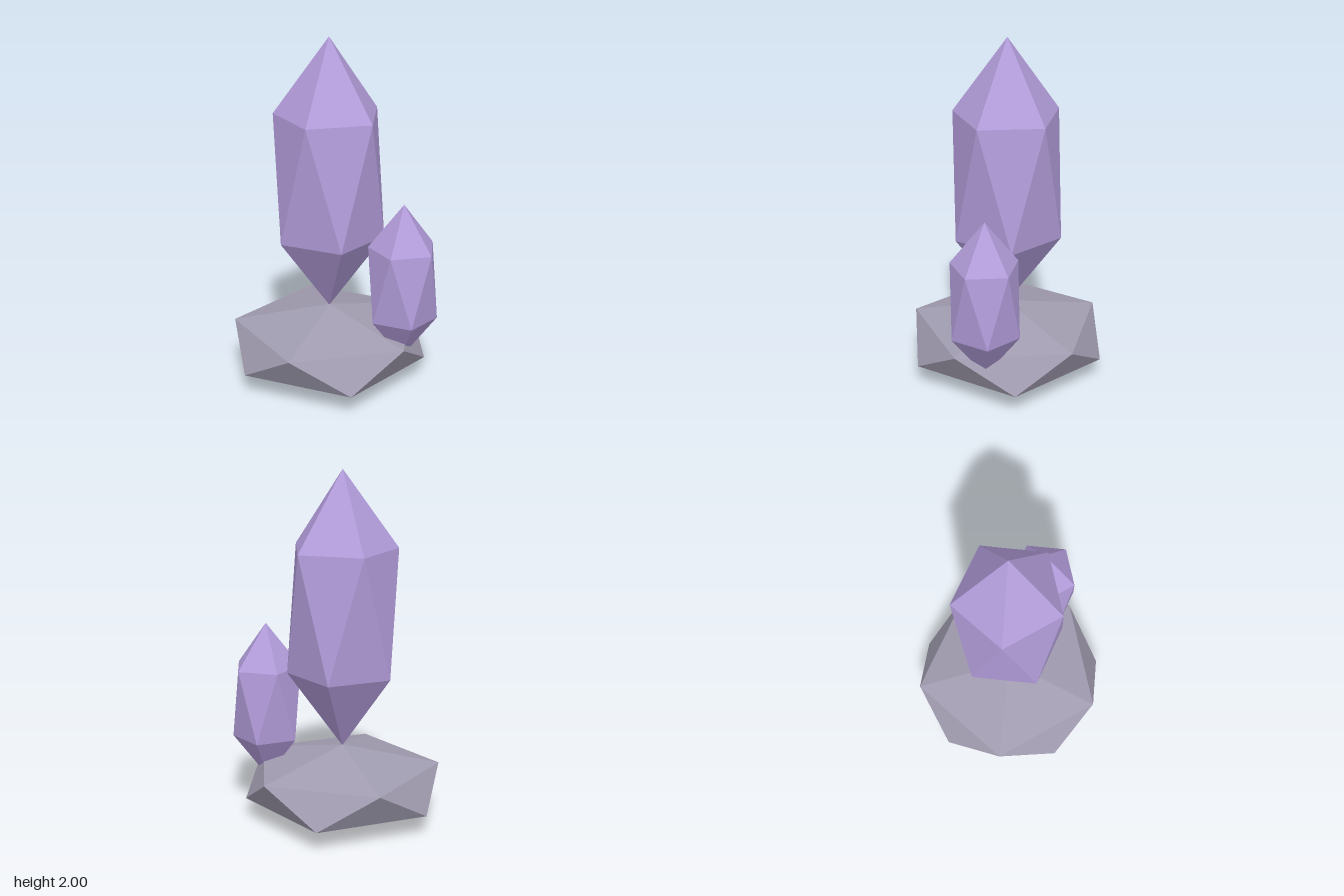
import * as THREE from 'three';

// Upright icosahedron: two tips and two staggered five-sided rings.
function gemGeometry(radius, halfHeight) {
  const ringY = halfHeight / Math.sqrt(5);
  const ring = (y, turn) => Array.from({ length: 5 }, (_, i) => {
    const a = turn + (i * Math.PI * 2) / 5;
    return [radius * Math.cos(a), y, -radius * Math.sin(a)];
  });
  const upper = ring(ringY, 0);
  const lower = ring(-ringY, Math.PI / 5);
  const top = [0, halfHeight, 0];
  const bottom = [0, -halfHeight, 0];

  const corners = [];
  for (let i = 0; i < 5; i++) {
    const j = (i + 1) % 5;
    corners.push(top, upper[i], upper[j]);
    corners.push(upper[i], lower[i], upper[j]);
    corners.push(upper[j], lower[i], lower[j]);
    corners.push(bottom, lower[j], lower[i]);
  }
  const geometry = new THREE.BufferGeometry();
  geometry.setAttribute('position', new THREE.Float32BufferAttribute(corners.flat(), 3));
  geometry.computeVertexNormals();
  return geometry;
}

export function createModel() {
  const group = new THREE.Group();
  group.name = 'crystalCluster';

  const crystal = new THREE.MeshStandardMaterial({ color: 0xb39ddb, flatShading: true });
  crystal.name = 'lilacCrystal';
  const rock = new THREE.MeshStandardMaterial({ color: 0xa19cb0, flatShading: true });
  rock.name = 'greyRock';

  function addGem(name, material, radius, halfHeight, x, y, z) {
    const mesh = new THREE.Mesh(gemGeometry(radius, halfHeight), material);
    mesh.name = name;
    mesh.position.set(x, y, z);
    group.add(mesh);
  }

  // Flat rock base
  addGem('rockBase', rock, 0.552, 0.218, -0.04, 0.218, 0);
  // Tall crystal balanced on the base
  addGem('tallCrystal', crystal, 0.31, 0.785, -0.04, 1.215, 0);
  // Small crystal sunk into the side of the base
  addGem('smallCrystal', crystal, 0.195, 0.46, 0.395, 0.655, -0.125);

  return group;
}
